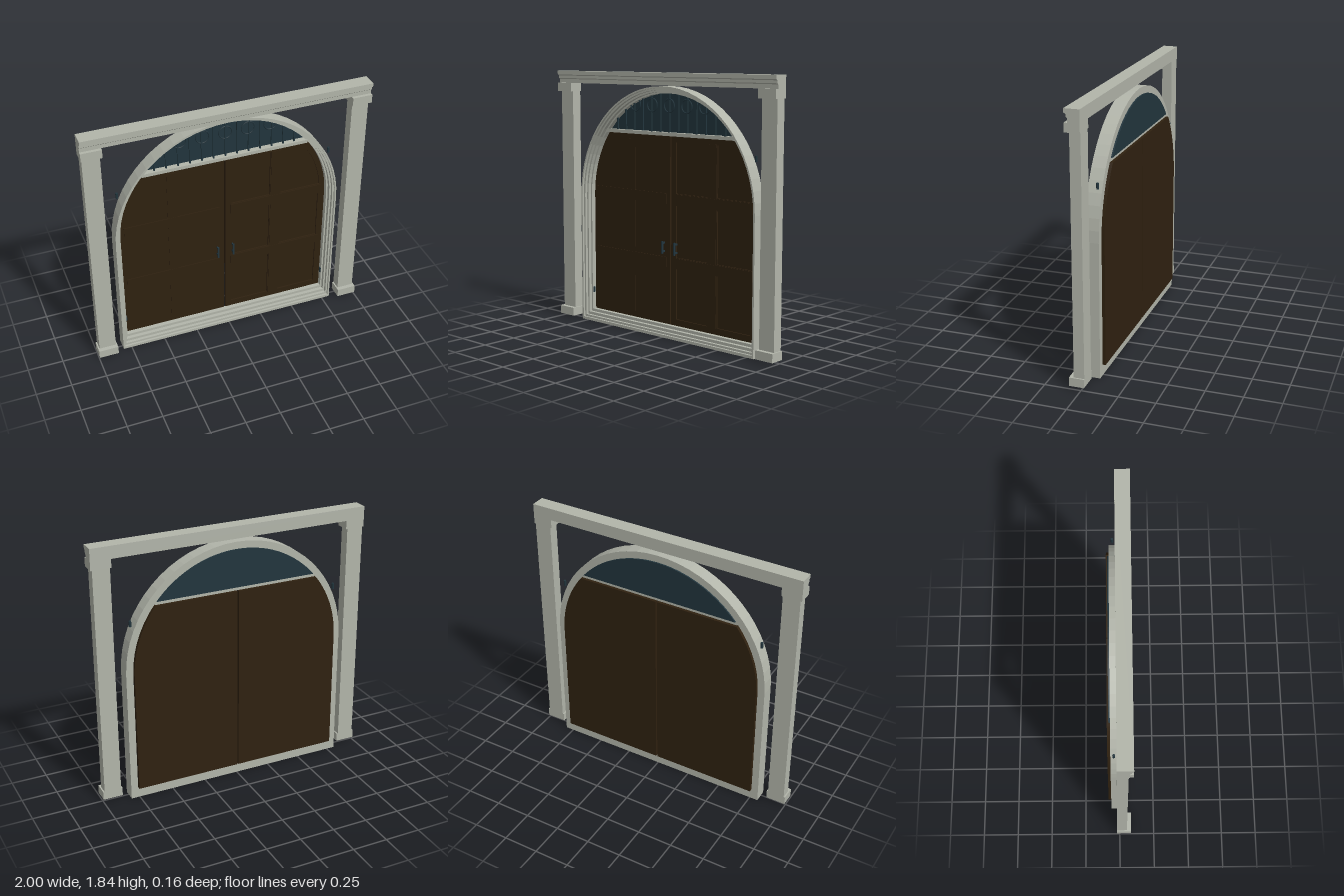
import * as THREE from 'three';

const SPRING = 0.94; // height where the arch begins

const mat = (name, color) => {
  const m = new THREE.MeshStandardMaterial({ color });
  m.name = name;
  return m;
};

// Points along a circle centred on the arch axis, between two heights (right half)
function arcPoints(r, y0, y1, n = 14) {
  const a0 = Math.asin((y0 - SPRING) / r);
  const a1 = Math.asin((y1 - SPRING) / r);
  return Array.from({ length: n + 1 }, (_, i) => {
    const a = a0 + ((a1 - a0) * i) / n;
    return [r * Math.cos(a), SPRING + r * Math.sin(a)];
  });
}

const rect = (x0, x1, y0, y1) => [[x0, y0], [x1, y0], [x1, y1], [x0, y1]];
const toVectors = (pts, side = 1) => pts.map(([x, y]) => new THREE.Vector2(x * side, y));

// Closed outline of the arched doorway: flat bottom, straight sides, round head
function archOutline(r, bottom) {
  const pts = [[-r, bottom], [r, bottom]];
  const n = 32;
  for (let i = 0; i <= n; i++) {
    const a = (Math.PI * i) / n;
    pts.push([r * Math.cos(a), SPRING + r * Math.sin(a)]);
  }
  return pts;
}

// Flat plate between two depths, optionally with holes and mirrored in x
function plate(outline, z0, z1, holes = [], side = 1) {
  const shape = new THREE.Shape(toVectors(outline, side));
  for (const h of holes) shape.holes.push(new THREE.Path(toVectors(h, side)));
  return new THREE.ExtrudeGeometry(shape, { depth: z1 - z0, bevelEnabled: false }).translate(0, 0, z0);
}

function box(x0, x1, y0, y1, z0, z1) {
  return new THREE.BoxGeometry(x1 - x0, y1 - y0, z1 - z0)
    .translate((x0 + x1) / 2, (y0 + y1) / 2, (z0 + z1) / 2);
}

export function createModel() {
  const model = new THREE.Group();
  model.name = 'archedDoorway';
  const stone = mat('paleStone', 0xb2b5aa);
  const wood = mat('darkWood', 0x2f2110);
  const iron = mat('blueIron', 0x22353d);

  const add = (name, geometry, material, parent = model) => {
    const mesh = new THREE.Mesh(geometry, material);
    mesh.name = name;
    parent.add(mesh);
    return mesh;
  };

  // Lintel: moulded profile swept along x
  const profile = [[-0.02, 1.755], [0.06, 1.755], [0.06, 1.783], [0.068, 1.79],
    [0.068, 1.808], [0.082, 1.815], [0.082, 1.842], [-0.02, 1.842]];
  const lintel = new THREE.ExtrudeGeometry(
    new THREE.Shape(profile.map(([z, y]) => new THREE.Vector2(-z, y))),
    { depth: 2, bevelEnabled: false }
  ).rotateY(Math.PI / 2).translate(-1, 0, 0);
  add('lintel', lintel, stone);

  // Pillars with base and capital
  for (const s of [1, -1]) {
    const pillar = new THREE.Group();
    pillar.name = s > 0 ? 'leftPillar' : 'rightPillar';
    model.add(pillar);
    const block = (name, w, y0, y1, z1) =>
      add(name, box(s * 0.93 - w / 2, s * 0.93 + w / 2, y0, y1, -0.02, z1), stone, pillar);
    block('base', 0.14, 0.02, 0.08, 0.082);
    block('shaft', 0.12, 0.08, 1.695, 0.052);
    block('capital', 0.14, 1.695, 1.755, 0.082);
  }

  // Arched frame: stepped rings, each opening wider towards the front
  const tiers = [[0.76, 0.075, -0.06, -0.025], [0.772, 0.055, -0.025, 0],
    [0.785, 0.035, 0, 0.02], [0.798, 0.02, 0.02, 0.035]];
  const frame = new THREE.Group();
  frame.name = 'archFrame';
  model.add(frame);
  tiers.forEach(([r, bottom, z0, z1], i) => {
    add(`frameStep${i + 1}`, plate(archOutline(0.81, 0), z0, z1, [archOutline(r, bottom)]), stone, frame);
  });

  // Transom bar between doors and fanlight
  add('transomBar', box(-0.59, 0.59, 1.408, 1.432, -0.06, -0.02), stone);

  // Fanlight pane
  const right = arcPoints(0.76, 1.432, 1.699, 16);
  const left = right.map(([x, y]) => [-x, y]).reverse();
  add('fanlightPane', plate([...right, ...left], -0.07, -0.06), iron);

  // Fanlight grille: upright bars and a row of rings
  const grille = new THREE.Group();
  grille.name = 'fanlightGrille';
  model.add(grille);
  for (let i = -6; i <= 6; i++) {
    const x = i * 0.083;
    const top = SPRING + Math.sqrt(0.76 ** 2 - x * x);
    add('grilleBar', box(x - 0.005, x + 0.005, 1.43, top, -0.045, -0.035), iron, grille);
  }
  for (let i = -2; i <= 2; i++) {
    const ring = new THREE.TorusGeometry(0.046, 0.005, 6, 24).translate(i * 0.16, 1.615, -0.04);
    add('grilleRing', ring, iron, grille);
  }

  // Double doors: back slab, panelled face, raised rails, handle and hinges
  const rows = [[0.12, 0.48], [0.56, 0.925], [1.01, 1.365]];
  for (const s of [1, -1]) {
    const door = new THREE.Group();
    door.name = s > 0 ? 'leftDoor' : 'rightDoor';
    model.add(door);

    const leaf = [[0.005, 0.075], [0.758, 0.075], [0.758, SPRING],
      ...arcPoints(0.758, SPRING + 0.01, 1.408), [0.005, 1.408]];
    const holes = [];
    rows.forEach(([y0, y1], i) => {
      holes.push(rect(0.05, 0.335, y0, y1));
      holes.push(i < 2 ? rect(0.42, 0.71, y0, y1)
        : [[0.42, y0], ...arcPoints(0.72, y0, y1), [0.42, y1]]);
    });
    add('doorSlab', plate(leaf, -0.08, -0.066, [], s), wood, door);
    add('panelFrame', plate(leaf, -0.066, -0.056, holes, s), wood, door);

    // Raised cross rails and centre stile
    for (const [y0, y1] of [[0.485, 0.555], [0.93, 1.005]]) {
      add('rail', plate(rect(0.04, 0.725, y0, y1), -0.056, -0.05, [], s), wood, door);
    }
    for (const [y0, y1] of [[0.115, 0.485], [0.555, 0.93], [1.005, 1.37]]) {
      add('centreStile', plate(rect(0.342, 0.413, y0, y1), -0.056, -0.052, [], s), wood, door);
    }

    // Pull handle on two short mounts
    add('handle', box(s * 0.057 - 0.006, s * 0.057 + 0.006, 0.58, 0.67, -0.035, -0.023), iron, door);
    for (const y of [0.595, 0.655]) {
      add('handleMount', box(s * 0.057 - 0.004, s * 0.057 + 0.004, y - 0.006, y + 0.006, -0.057, -0.033), iron, door);
    }

    // Hinge barrels
    for (const y of [0.22, 1.3]) {
      const hinge = new THREE.CylinderGeometry(0.009, 0.009, 0.04, 10).translate(s * 0.76, y, -0.038);
      add('hinge', hinge, iron, door);
    }
  }

  return model;
}
